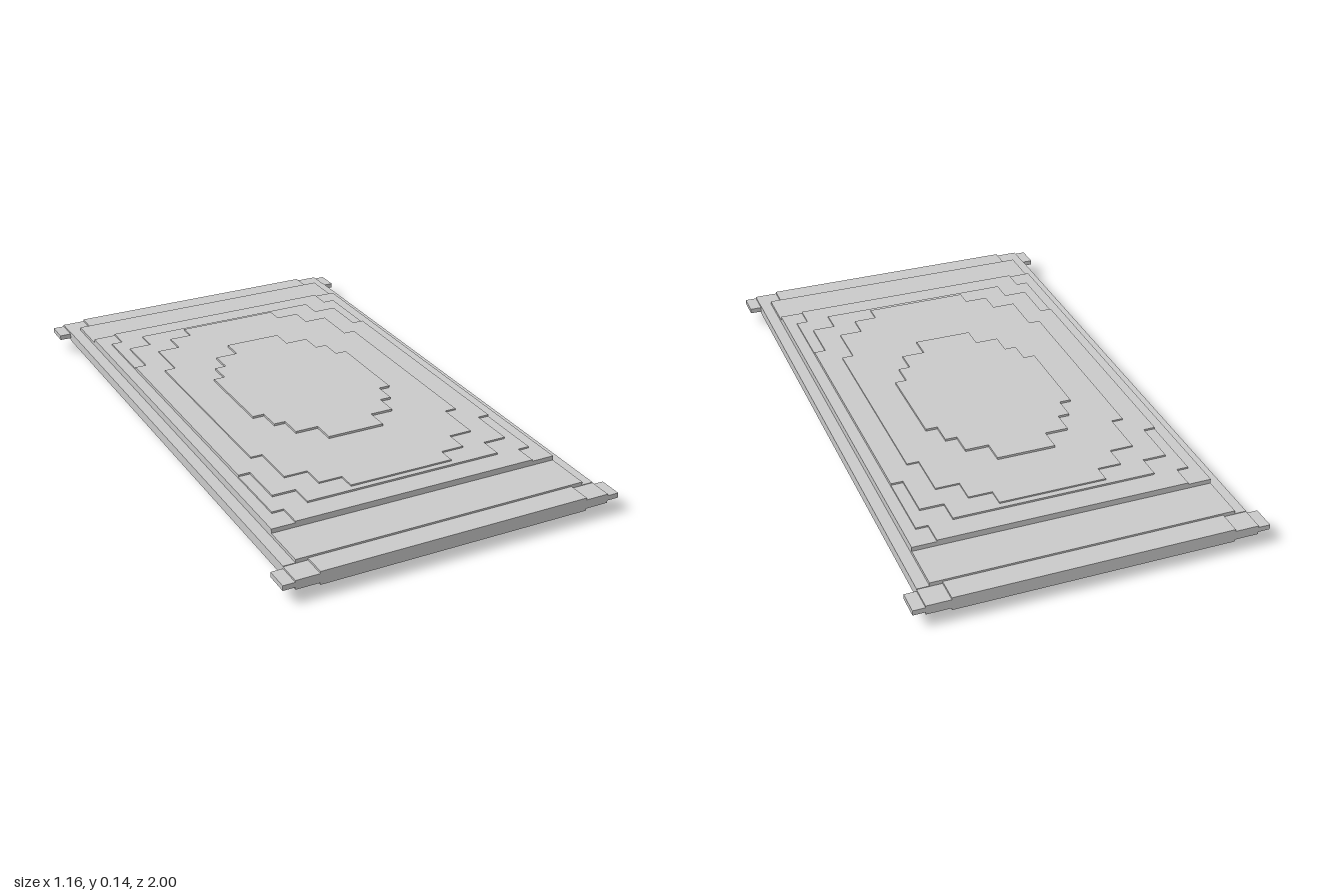
import * as THREE from 'three';

const MID = 0.0675;
const material = new THREE.MeshStandardMaterial({ color: 0xcccccc, flatShading: true });

// Stepped outline, symmetric in both axes. steps: [half width, z reached], middle to end.
function steppedShape(steps) {
  const quarter = [];
  let z = 0;
  for (const [w, zEnd] of steps) {
    if (z > 0) quarter.push([w, z]);
    quarter.push([w, zEnd]);
    z = zEnd;
  }
  const back = [...quarter].reverse();
  const points = [
    ...quarter,
    ...back.map(([x, y]) => [-x, y]),
    ...quarter.map(([x, y]) => [-x, -y]),
    ...back.map(([x, y]) => [x, -y]),
  ];
  return new THREE.Shape(points.map(([x, y]) => new THREE.Vector2(x, y)));
}

// Flat slab with a stepped outline between two heights
function slab(name, steps, y0, y1, zShift = 0) {
  const geometry = new THREE.ExtrudeGeometry(steppedShape(steps), { depth: y1 - y0, bevelEnabled: false });
  geometry.rotateX(Math.PI / 2);
  geometry.translate(0, y1, zShift);
  const mesh = new THREE.Mesh(geometry, material);
  mesh.name = name;
  return mesh;
}

function box(name, x0, x1, y0, y1, z0, z1) {
  const mesh = new THREE.Mesh(new THREE.BoxGeometry(x1 - x0, y1 - y0, z1 - z0), material);
  mesh.position.set((x0 + x1) / 2, (y0 + y1) / 2, (z0 + z1) / 2);
  mesh.name = name;
  return mesh;
}

export function createModel() {
  const group = new THREE.Group();
  group.name = 'stuffedPacket';

  // Thin side seams and the slightly thicker panel between the end seals
  group.add(box('sideSeams', -0.54, 0.54, 0.05, 0.085, -0.92, 0.92));
  group.add(box('neckPanel', -0.5, 0.5, 0.042, 0.096, -0.92, 0.92));

  // End seals with thinner corner tabs
  for (const s of [-1, 1]) {
    const z0 = s > 0 ? 0.92 : -1;
    const seal = new THREE.Group();
    seal.name = s > 0 ? 'frontSeal' : 'backSeal';
    seal.add(box('sealCore', -0.46, 0.46, 0.045, 0.09, z0, z0 + 0.08));
    seal.add(box('sealEdge', -0.54, 0.54, 0.052, 0.083, z0, z0 + 0.08));
    seal.add(box('sealTabs', -0.58, 0.58, 0.06, 0.077, z0, z0 + 0.08));
    group.add(seal);
  }

  // Bulging body: terraces shrinking towards the top and bottom
  group.add(slab('body', [[0.5, 0.76]], 0.026, 0.111));
  const terraces = [
    [0.1165, 0.02, [[0.46, 0.68], [0.42, 0.76]]],
    [0.1225, 0.014, [[0.46, 0.44], [0.42, 0.6], [0.34, 0.68]]],
    [0.1275, 0.008, [[0.38, 0.36], [0.34, 0.52], [0.26, 0.6], [0.18, 0.66]]],
  ];
  terraces.forEach(([top, bottom, steps], i) => {
    group.add(slab(`upperTerrace${i + 1}`, steps, MID, top));
    group.add(slab(`lowerTerrace${i + 1}`, steps, bottom, MID));
  });

  // Innermost terraces, a little off centre
  group.add(slab('crown', [[0.26, 0.16], [0.22, 0.24], [0.18, 0.32], [0.1, 0.4]], MID, 0.135, -0.04));
  group.add(slab('underside', [[0.22, 0.24], [0.18, 0.32], [0.1, 0.4]], 0, MID, -0.04));

  return group;
}
